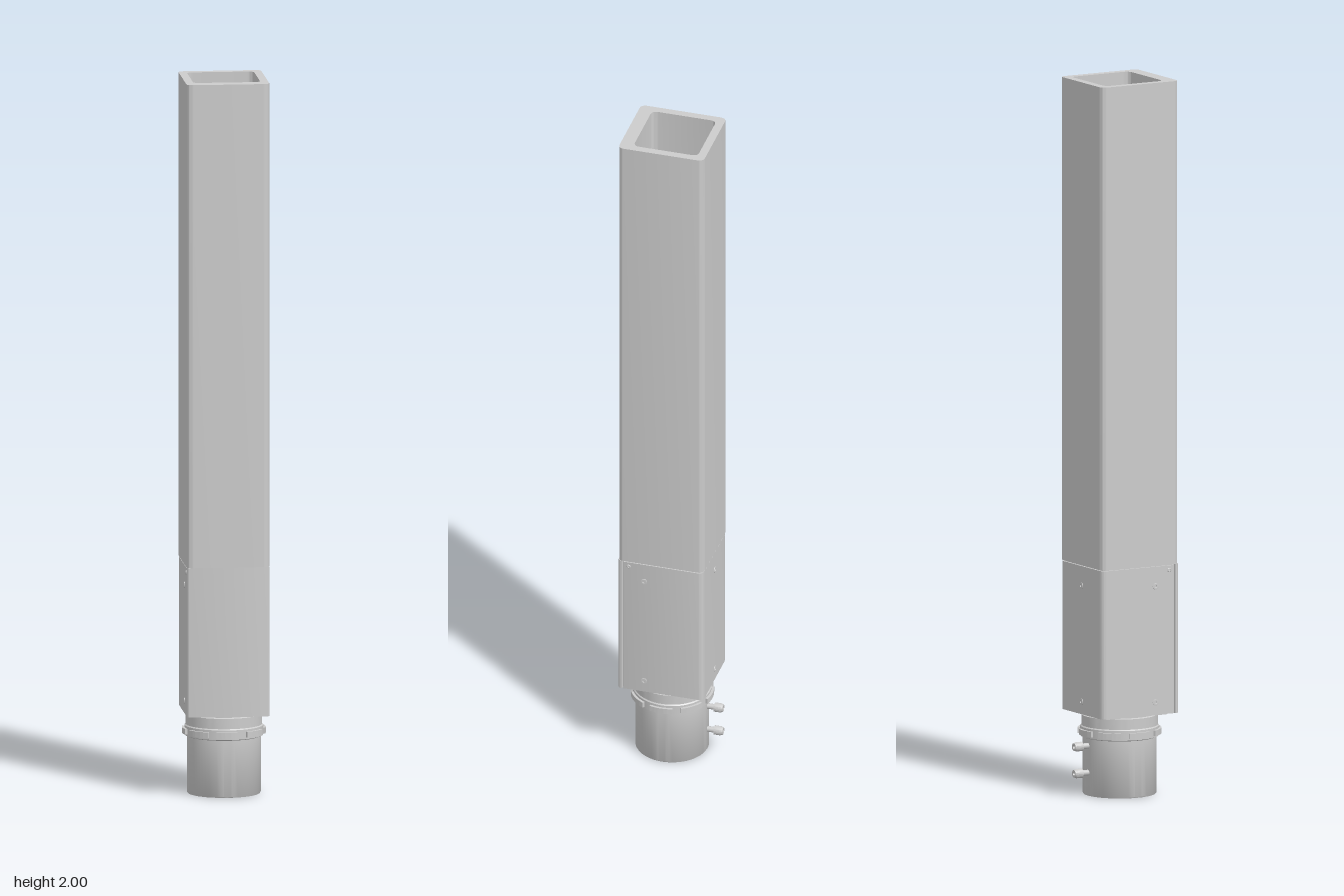
import * as THREE from 'three';
import { toCreasedNormals } from 'three/addons/utils/BufferGeometryUtils.js';

const mat = new THREE.MeshStandardMaterial({ color: 0xcccccc });
const BASE_Z = 0.01, FLOOR = 0.24, SEAM = 0.645;

function add(parent, name, geo, x = 0, y = 0, z = 0) {
  const m = new THREE.Mesh(geo, mat);
  m.name = name;
  m.position.set(x, y, z);
  parent.add(m);
  return m;
}

// Rounded rectangle on the ground plane; rf / rb are front and back corner radii
function plan(x, zBack, zFront, rf, rb, Type = THREE.Shape) {
  const s = new Type(), f = -zFront, b = -zBack;
  s.moveTo(-x + rf, f);
  s.lineTo(x - rf, f);
  s.quadraticCurveTo(x, f, x, f + rf);
  s.lineTo(x, b - rb);
  s.quadraticCurveTo(x, b, x - rb, b);
  s.lineTo(-x + rb, b);
  s.quadraticCurveTo(-x, b, -x, b - rb);
  s.lineTo(-x, f + rf);
  s.quadraticCurveTo(-x, f, -x + rf, f);
  return s;
}

// Upright extrusion of a ground plan
function rise(shape, height, curveSegments = 8) {
  const g = new THREE.ExtrudeGeometry(shape, { depth: height, bevelEnabled: false, curveSegments });
  return toCreasedNormals(g.rotateX(-Math.PI / 2), 0.6);
}

function lathe(points, seg = 48) {
  const g = new THREE.LatheGeometry(points.map(p => new THREE.Vector2(...p)), seg);
  return toCreasedNormals(g, 0.6);
}

// Round-headed screw with a recessed centre, axis along +y
function screw(r, h) {
  return lathe([[0, 0], [r, 0], [r, h * 0.7], [r * 0.8, h], [r * 0.4, h], [r * 0.3, h * 0.5], [0, h * 0.5]], 20);
}

// Round multi-pole connector with a ring of sockets
function connector(r, h, count, pinR) {
  const g = new THREE.Group();
  g.name = 'connector';
  add(g, 'connectorShell', lathe([[0, 0], [r, 0], [r, h * 0.3], [r * 0.93, h * 0.34], [r * 0.93, h * 0.9],
    [r * 0.88, h], [r * 0.78, h], [r * 0.75, h * 0.75], [0, h * 0.75]]));
  const face = new THREE.Shape().absarc(0, 0, r * 0.7, 0, Math.PI * 2, false);
  const spots = [[0, 0]];
  for (let i = 0; i < count; i++) {
    const a = i / count * Math.PI * 2 + 0.3;
    spots.push([Math.cos(a) * r * 0.45, Math.sin(a) * r * 0.45]);
  }
  spots.forEach(([x, y]) => face.holes.push(new THREE.Path().absarc(x, y, pinR, 0, Math.PI * 2, true)));
  add(g, 'connectorInsert', rise(face, h * 0.17, 12), 0, h * 0.75, 0);
  spots.forEach(([x, y]) => add(g, 'connectorPin',
    new THREE.CylinderGeometry(pinR * 0.5, pinR * 0.5, h * 0.14, 12), x, h * 0.82, -y));
  return g;
}

export function createModel() {
  const root = new THREE.Group();
  root.name = 'squarePost';

  // Upper square tube
  const tube = plan(0.115, -0.113, 0.133, 0.018, 0.018);
  tube.holes.push(plan(0.093, -0.09, 0.095, 0.018, 0.018, THREE.Path));
  add(root, 'postTube', rise(tube, 2 - SEAM - 0.003), 0, SEAM + 0.003, 0);

  // Front plate continuing down to the foot
  add(root, 'frontPlate', rise(plan(0.115, 0.121, 0.133, 0.011, 0.001), SEAM + 0.003 - 0.23), 0, 0.23, 0);

  // Lower access cover and the slightly inset frame behind its seams
  const cover = plan(0.114, -0.112, 0.118, 0.002, 0.018);
  cover.holes.push(plan(0.1, -0.098, 0.1, 0.01, 0.01, THREE.Path));
  add(root, 'accessCover', rise(cover, SEAM - 0.23), 0, 0.23, 0);
  const frame = plan(0.108, -0.106, 0.125, 0.01, 0.015);
  frame.holes.push(plan(0.093, -0.09, 0.095, 0.018, 0.018, THREE.Path));
  add(root, 'innerFrame', rise(frame, SEAM + 0.01 - 0.232), 0, 0.232, 0);

  // Cover screws on both sides and the back
  for (const y of [0.265, 0.59]) {
    for (const s of [-1, 1]) {
      add(root, 'coverScrew', screw(0.009, 0.004), s * 0.113, y, 0.058).rotation.z = -s * Math.PI / 2;
    }
    add(root, 'coverScrew', screw(0.009, 0.004), 0, y, -0.111).rotation.x = -Math.PI / 2;
  }
  for (const s of [-1, 1]) {
    add(root, 'cornerScrew', screw(0.006, 0.003), s * 0.113, 0.632, 0.102).rotation.z = -s * Math.PI / 2;
  }

  // Floor plate with its connectors and indicator lamps
  add(root, 'floorPlate', rise(plan(0.1, -0.098, 0.11, 0.015, 0.015), FLOOR - 0.226), 0, 0.226, 0);
  const big = connector(0.052, 0.07, 7, 0.0065);
  big.position.set(0.03, FLOOR, 0.033);
  const small = connector(0.037, 0.06, 5, 0.0045);
  small.position.set(-0.047, FLOOR, -0.043);
  root.add(big, small);
  for (const z of [0.01, 0.03, 0.049]) {
    add(root, 'indicatorLamp', new THREE.CylinderGeometry(0.007, 0.007, 0.012, 20), -0.086, FLOOR + 0.006, z);
  }

  // Round foot: stepped socket below, collar and neck above
  add(root, 'foot', lathe([[0, 0.15], [0.052, 0.15], [0.054, 0.03], [0.066, 0.03], [0.066, 0.06], [0.088, 0.06],
    [0.09, 0.006], [0.095, 0], [0.1, 0], [0.102, 0.003], [0.102, 0.16], [0.109, 0.163], [0.109, 0.19],
    [0.106, 0.193], [0.106, 0.222], [0.1, 0.224], [0.1, 0.232], [0, 0.232]], 64), 0, 0, BASE_Z);

  // Raised lugs around the collar
  const lug = new THREE.Shape();
  const half = 0.29;
  lug.absarc(0, 0, 0.116, -half, half, false);
  lug.absarc(0, 0, 0.107, half, -half, true);
  lug.closePath();
  const lugGeo = rise(lug, 0.016, 10);
  for (let i = 0; i < 8; i++) {
    add(root, 'collarLug', lugGeo, 0, 0.168, BASE_Z).rotation.y = i * Math.PI / 4;
  }

  // Clamping screws at the back of the foot
  for (const y of [0.065, 0.14]) {
    add(root, 'clampShank', new THREE.CylinderGeometry(0.008, 0.008, 0.04, 20), 0, y, -0.1).rotation.x = Math.PI / 2;
    add(root, 'clampScrew', screw(0.013, 0.025), 0, y, -0.112).rotation.x = -Math.PI / 2;
  }
  return root;
}
